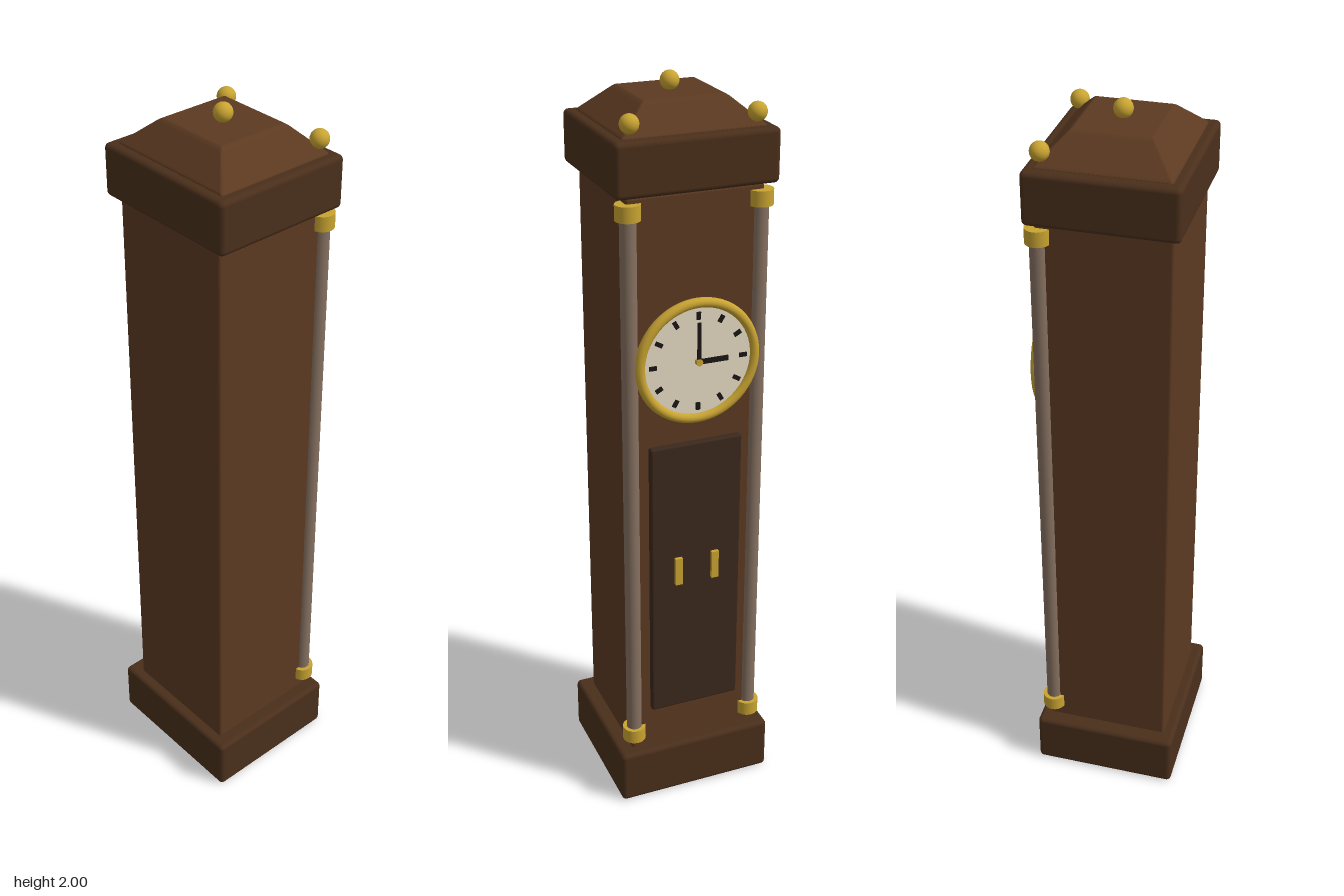
import * as THREE from 'three';
import { RoundedBoxGeometry } from 'three/addons/geometries/RoundedBoxGeometry.js';

const mat = (color) => new THREE.MeshStandardMaterial({ color });

export function createModel() {
  const wood = mat(0x5c3a21), darkWood = mat(0x4a2f1b), doorWood = mat(0x3a281c);
  const gold = mat(0xc9a432), stone = mat(0x857060), cream = mat(0xe6dcc4), black = mat(0x1a1614);

  // The clock is built facing +z, then turned so its dial faces -z
  const clock = new THREE.Group();
  clock.name = 'longcaseClock';

  function add(name, geometry, material, x = 0, y = 0, z = 0, parent = clock) {
    const mesh = new THREE.Mesh(geometry, material);
    mesh.name = name;
    mesh.position.set(x, y, z);
    parent.add(mesh);
    return mesh;
  }
  // Rounded box spanning heights y0 to y1
  const block = (name, w, y0, y1, d, r, material, z = 0) =>
    add(name, new RoundedBoxGeometry(w, y1 - y0, d, 3, r), material, 0, (y0 + y1) / 2, z);

  // Case
  block('base', 0.445, 0, 0.155, 0.402, 0.013, darkWood);
  block('body', 0.36, 0.14, 1.75, 0.34, 0.008, wood);
  block('cornice', 0.424, 1.75, 1.886, 0.382, 0.013, darkWood);

  // Roof: rounded box whose upper half is drawn inwards
  const roofGeo = new RoundedBoxGeometry(0.38, 0.072, 0.34, 3, 0.008);
  const p = roofGeo.attributes.position;
  for (let i = 0; i < p.count; i++) {
    const t = THREE.MathUtils.clamp(p.getY(i) / 0.072 + 0.5, 0, 1);
    p.setX(i, p.getX(i) * (1 - 0.44 * t));
    p.setZ(i, p.getZ(i) * (1 - 0.42 * t));
  }
  roofGeo.computeVertexNormals();
  add('roof', roofGeo, wood, 0, 1.92, 0);

  // Finials
  const ball = new THREE.SphereGeometry(0.024, 24, 16);
  add('topFinial', ball, gold, 0, 1.976, 0);

  // Corner finials and front columns with capitals
  const shaft = new THREE.CylinderGeometry(0.021, 0.021, 1.49, 24);
  const collar = new THREE.CylinderGeometry(0.032, 0.032, 0.04, 24);
  for (const [side, s] of [['left', 1], ['right', -1]]) {
    add(side + 'Finial', ball, gold, s * 0.163, 1.92, 0.154);
    add(side + 'Column', shaft, stone, s * 0.173, 0.96, 0.163);
    add(side + 'Capital', collar, gold, s * 0.173, 1.715, 0.163);
    add(side + 'ColumnFoot', collar, gold, s * 0.173, 0.208, 0.163);
  }

  // Door and its two handles
  block('door', 0.254, 0.28, 1.09, 0.03, 0.006, doorWood, 0.173);
  for (const s of [1, -1])
    add('doorHandle', new THREE.BoxGeometry(0.02, 0.08, 0.016), gold, s * 0.052, 0.72, 0.19);

  // Dial
  const dial = new THREE.Group();
  dial.name = 'dial';
  dial.position.set(0, 1.317, 0.17);
  clock.add(dial);
  add('dialRim', new THREE.TorusGeometry(0.155, 0.013, 12, 64), gold, 0, 0, 0.017, dial);
  add('dialFace', new THREE.CylinderGeometry(0.153, 0.153, 0.02, 64).rotateX(Math.PI / 2), cream, 0, 0, 0.009, dial);
  for (let i = 0; i < 12; i++) {
    const a = (i / 12) * Math.PI * 2;
    const mark = add('hourMark', new THREE.BoxGeometry(0.011, 0.02, 0.006), black,
      0.122 * Math.sin(a), 0.122 * Math.cos(a), 0.02, dial);
    mark.rotation.z = -a;
  }
  // Hands at three o'clock
  add('minuteHand', new THREE.BoxGeometry(0.009, 0.105, 0.005), black, 0, 0.0525, 0.026, dial);
  add('hourHand', new THREE.BoxGeometry(0.08, 0.013, 0.005), black, 0.04, 0, 0.024, dial);
  add('handPin', new THREE.CylinderGeometry(0.009, 0.009, 0.013, 16).rotateX(Math.PI / 2), gold, 0, 0, 0.025, dial);

  clock.rotation.y = Math.PI;
  const model = new THREE.Group();
  model.add(clock);
  return model;
}
